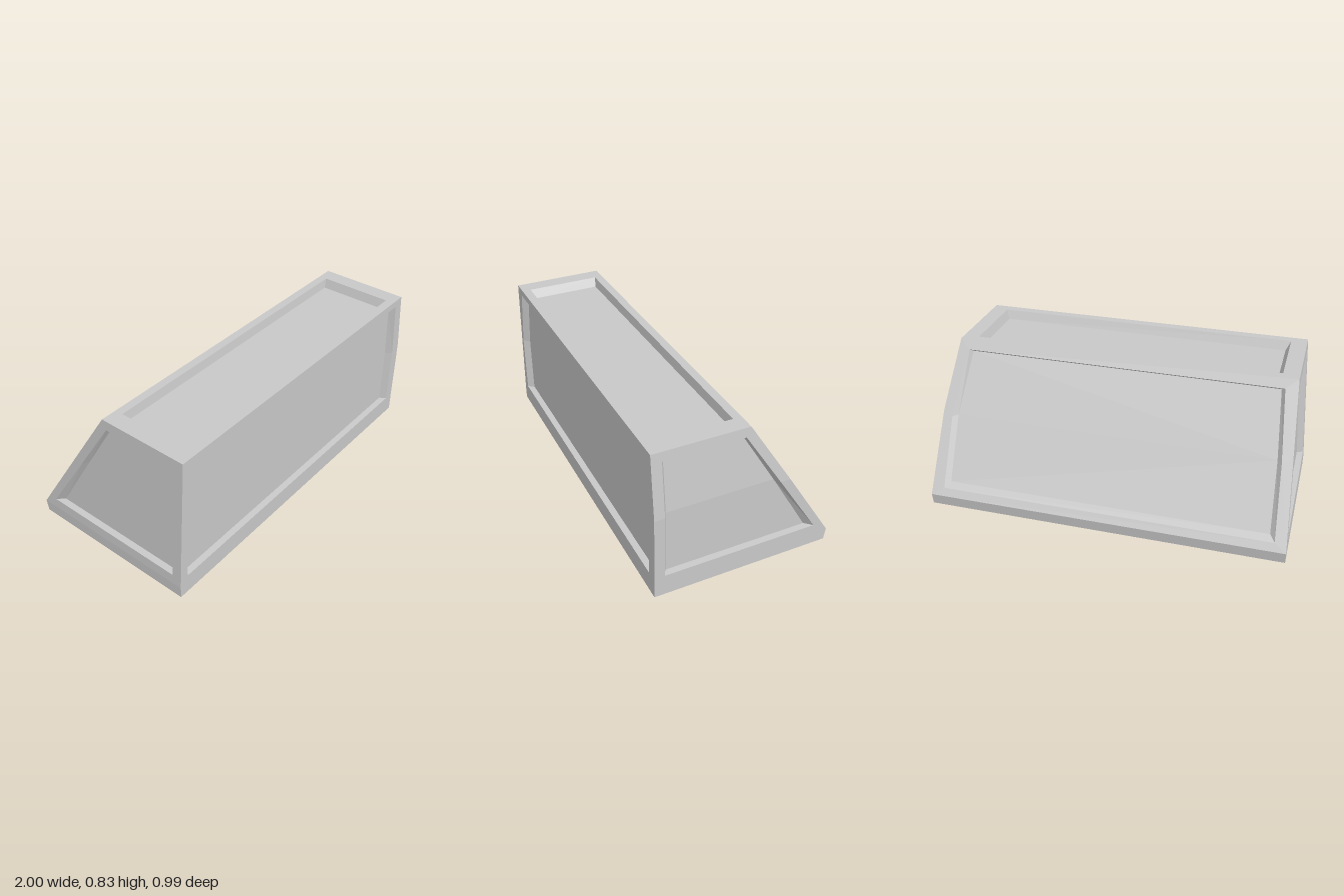
import * as THREE from 'three';

const grey = new THREE.MeshStandardMaterial({ color: 0xc8c8c8 });
grey.name = 'plain grey';

const TOP = 0.83, MID = 0.48, LOW = 0.065, FRONT = 0.495;
const lerp = THREE.MathUtils.lerp;

// x of the side wall at height y; the +x wall bends at MID, the -x wall leans evenly
const wallX = (s, y) => s > 0
  ? (y <= MID ? 1 : lerp(1, 0.96, (y - MID) / (TOP - MID)))
  : -lerp(1, 0.945, Math.max(0, y - LOW) / (TOP - LOW));
// z of the sloping back at height y
const backZ = y => lerp(-0.495, -0.015, (y - LOW) / (TOP - LOW));

// flat-shaded mesh from a list of triangle corners
function meshOf(name, corners) {
  const g = new THREE.BufferGeometry();
  g.setAttribute('position', new THREE.Float32BufferAttribute(corners.flat(), 3));
  g.computeVertexNormals();
  const m = new THREE.Mesh(g, grey);
  m.name = name;
  return m;
}

// strip of quads between two loops with the same number of points
function ring(a, b) {
  return a.flatMap((p, i) => {
    const j = (i + 1) % a.length;
    return [p, a[j], b[j], p, b[j], b[i]];
  });
}

const fan = loop => loop.slice(2).flatMap((p, i) => [loop[0], loop[i + 1], p]);

// one face of the body: border, recess walls and sunken panel
function recessedFace(name, ...loops) {
  const n = new THREE.Vector3(), c = new THREE.Vector3();
  const v = loops[0].map(p => new THREE.Vector3(...p));
  v.forEach((p, i) => {
    n.add(p.clone().cross(v[(i + 1) % v.length]));
    c.add(p);
  });
  c.divideScalar(v.length).sub(new THREE.Vector3(0, 0.4, 0));
  // turn the loops round when they face inwards
  const [outer, hole, panel] = n.dot(c) > 0 ? loops
    : loops.map(l => [l[0], ...l.slice(1).reverse()]);
  const group = new THREE.Group();
  group.name = name;
  group.add(
    meshOf(name + 'Frame', ring(outer, hole)),
    meshOf(name + 'RecessWalls', ring(hole, panel)),
    meshOf(name + 'Panel', fan(panel)));
  return group;
}

// six-point loop across the width; rows are [y, left x, right x], middle row first
function wideLoop(rows, zAt) {
  const [mid, low, top] = rows;
  return [[mid, 1], [low, 1], [low, 2], [mid, 2], [top, 2], [top, 1]]
    .map(([r, k]) => [r[k], r[0], zAt(r[0])]);
}

// six-point loop along a side wall; rows are [y, front z, back z], middle row first
function sideLoop(s, rows, depth) {
  const [mid, low, top] = rows;
  return [[mid, 1], [low, 1], [low, 2], [mid, 2], [top, 2], [top, 1]]
    .map(([r, k]) => [wallX(s, r[0]) - s * depth, r[0], r[k]]);
}

const rect = (x0, x1, z0, z1, y) => [[x0, y, z0], [x0, y, z1], [x1, y, z1], [x1, y, z0]];

export function createModel() {
  const model = new THREE.Group();
  model.name = 'angledHousing';
  const rim = [MID, LOW, TOP].map(y => [y, wallX(-1, y), wallX(1, y)]);

  // upright front
  model.add(recessedFace('front',
    wideLoop(rim, () => FRONT),
    wideLoop([[0.45, -0.945, 0.94], [0.11, -0.945, 0.94], [0.79, -0.885, 0.905]], () => FRONT),
    wideLoop([[0.45, -0.92, 0.915], [0.112, -0.92, 0.915], [0.777, -0.865, 0.885]], () => FRONT - 0.035)));

  // sloping back
  model.add(recessedFace('back',
    wideLoop(rim, backZ),
    wideLoop([[0.45, -0.915, 0.945], [0.105, -0.935, 0.93], [0.78, -0.88, 0.9]], backZ),
    wideLoop([[0.45, -0.89, 0.92], [0.125, -0.905, 0.905], [0.765, -0.86, 0.885]], y => backZ(y) + 0.03)));

  // two side walls
  for (const [name, s] of [['leftSide', 1], ['rightSide', -1]]) {
    model.add(recessedFace(name,
      sideLoop(s, [MID, LOW, TOP].map(y => [y, FRONT, backZ(y)]), 0),
      sideLoop(s, [[MID, 0.44, -0.18], [0.12, 0.44, -0.41], [0.78, 0.44, 0.01]], 0),
      sideLoop(s, [[MID, 0.42, -0.16], [0.122, 0.42, -0.37], [0.77, 0.42, 0.012]], 0.035)));
  }

  // top tray
  model.add(recessedFace('top',
    rect(wallX(-1, TOP), wallX(1, TOP), backZ(TOP), FRONT, TOP),
    rect(-0.855, 0.87, 0.03, 0.445, TOP),
    rect(-0.83, 0.85, 0.038, 0.422, TOP - 0.05)));

  // base skirt and underside
  const upper = rect(-1, 1, -0.495, FRONT, LOW);
  const lower = rect(-1, 1, -0.485, FRONT, 0);
  model.add(meshOf('baseSkirt', ring(lower, upper)));
  model.add(meshOf('underside', fan([...lower].reverse())));
  return model;
}
